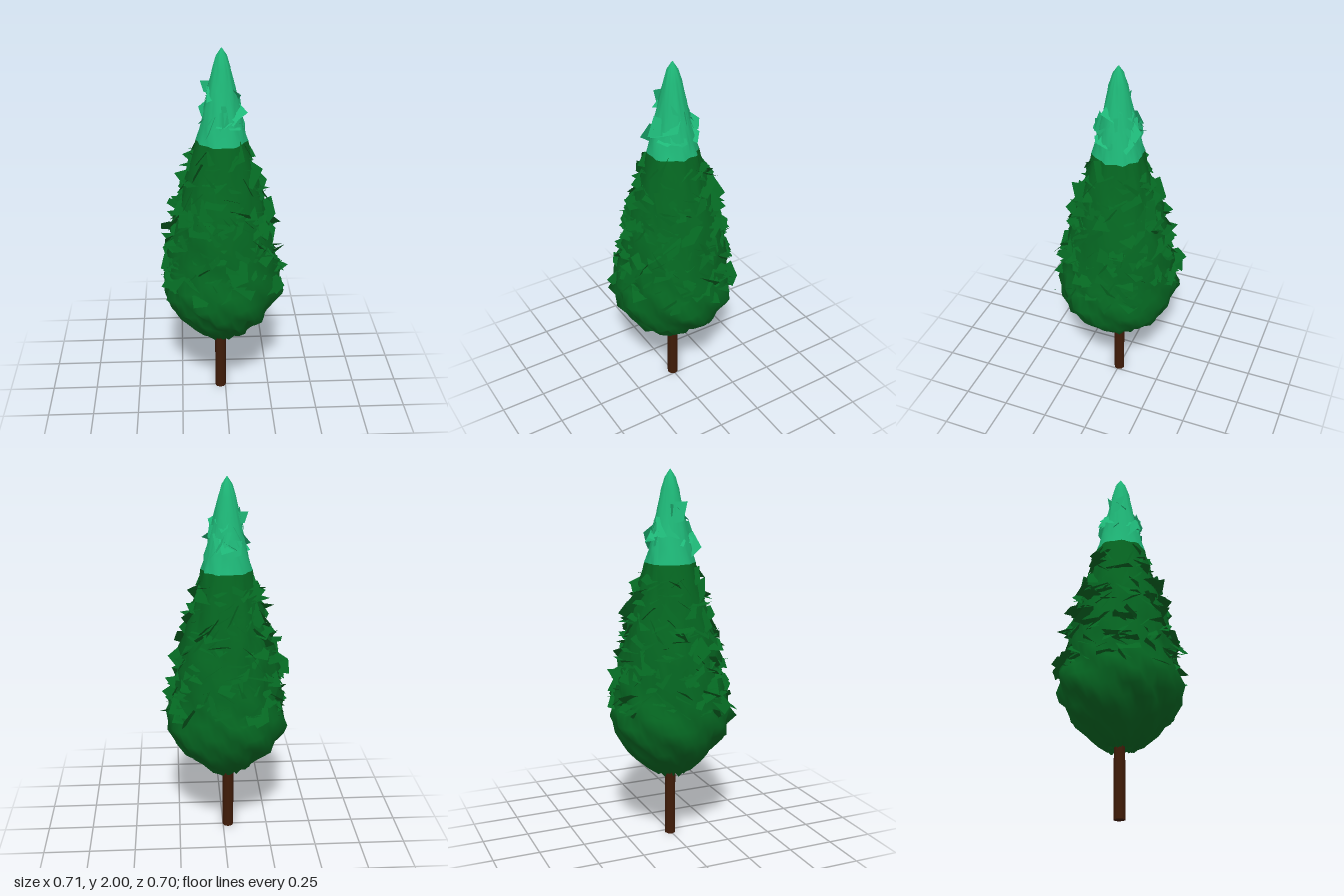
import * as THREE from 'three';

const CX = -0.02;         // tree axis
const TIP_Y = 1.52;       // where the fresh tip colour starts

// small seeded random source
function seeded(seed) {
  return () => {
    seed = (seed * 1664525 + 1013904223) % 4294967296;
    return seed / 4294967296;
  };
}

// crown profile as [height, radius]
const PROFILE = [
  [0.38, 0.012], [0.36, 0.075], [0.4, 0.125], [0.45, 0.185], [0.5, 0.235], [0.55, 0.275], [0.61, 0.308],
  [0.68, 0.33], [0.75, 0.318], [0.82, 0.3], [0.9, 0.286], [1.0, 0.268], [1.1, 0.247], [1.2, 0.22],
  [1.3, 0.19], [1.41, 0.16], [TIP_Y, 0.13], [1.6, 0.112], [1.7, 0.09], [1.8, 0.067], [1.9, 0.046],
  [1.96, 0.027], [2.0, 0.002],
];

function radiusAt(y) {
  for (let i = 1; i < PROFILE.length; i++) {
    const [y0, r0] = PROFILE[i - 1], [y1, r1] = PROFILE[i];
    if (y <= y1) return r0 + (r1 - r0) * (y - y0) / (y1 - y0);
  }
  return 0;
}

// sharp folds that wind around the crown
function fold(a, y) {
  const t = a + 4.5 * (y - 0.7) + 0.5;
  const ridge = Math.abs(Math.sin(4 * t + 0.5 * Math.sin(2 * t)));
  return 1.06 - 0.11 * ridge + 0.02 * Math.sin(3 * t + 1.3) + 0.02 * Math.sin(11 * t + 2);
}

// smooth crown made of stacked rings; group 0 is the body, group 1 the tip
function crownGeometry() {
  const rnd = seeded(7), sides = 48;
  const pos = [], index = [];
  let bodyCount = 0;
  PROFILE.forEach(([y, r], j) => {
    for (let i = 0; i < sides; i++) {
      const a = (i / sides) * Math.PI * 2;
      const rr = r * fold(a, y) * (0.98 + 0.04 * rnd());
      // ragged hem at the bottom, level cut at the tip line
      const dy = j > 0 && j < 6 ? (rnd() - 0.5) * 0.03 : 0;
      pos.push(CX + Math.sin(a) * rr, y + dy, Math.cos(a) * rr);
    }
    if (j === 0) return;
    for (let i = 0; i < sides; i++) {
      const k = (i + 1) % sides;
      const a = (j - 1) * sides + i, b = (j - 1) * sides + k;
      const c = j * sides + i, d = j * sides + k;
      index.push(a, b, c, b, d, c);
    }
    if (y === TIP_Y) bodyCount = index.length;
  });
  const g = new THREE.BufferGeometry();
  g.setAttribute('position', new THREE.Float32BufferAttribute(pos, 3));
  g.setIndex(index);
  g.computeVertexNormals();
  g.addGroup(0, bodyCount, 0);
  g.addGroup(bodyCount, index.length - bodyCount, 1);
  return g;
}

// flat four-cornered sprays poking out of the crown between two heights
function sprayGeometry(count, yMin, yMax, size, droop, seed) {
  const rnd = seeded(seed), pos = [];
  const span = (lo, hi) => lo + (hi - lo) * rnd();
  const m = new THREE.Matrix4(), e = new THREE.Euler();
  for (let n = 0; n < count; n++) {
    const y = span(yMin, yMax);
    const a = n * 2.39996 + span(-0.3, 0.3);
    const r = radiusAt(y) * fold(a, y);
    const s = size * span(0.7, 1.3);
    const reach = s * span(0.15, 0.55);
    // local frame: z points away from the axis, x runs around it
    e.set(droop + span(-0.7, 0.7), a + span(-0.7, 0.7), span(-0.9, 0.9), 'YXZ');
    m.makeRotationFromEuler(e);
    m.setPosition(CX + Math.sin(a) * r, y, Math.cos(a) * r);
    const corners = [
      [-s * 0.5, 0, reach - s], [s * 0.5, 0, reach - s],
      [s * span(0.2, 0.55), 0, reach * span(0, 0.9)], [-s * span(0, 0.5), 0, reach],
    ].map(c => new THREE.Vector3(...c).applyMatrix4(m));
    for (const i of [0, 2, 1, 0, 3, 2]) pos.push(...corners[i].toArray());
  }
  const g = new THREE.BufferGeometry();
  g.setAttribute('position', new THREE.Float32BufferAttribute(pos, 3));
  g.computeVertexNormals();
  return g;
}

export function createModel() {
  const material = (name, color, side = THREE.FrontSide) => {
    const m = new THREE.MeshStandardMaterial({ color, side });
    m.name = name;
    return m;
  };
  const bark = material('bark brown', 0x401c08);
  const green = material('deep green', 0x056521, THREE.DoubleSide);
  const mint = material('tip green', 0x1eb878, THREE.DoubleSide);

  const tree = new THREE.Group();
  tree.name = 'coniferTree';
  const add = (name, geometry, mat) => {
    const mesh = new THREE.Mesh(geometry, mat);
    mesh.name = name;
    tree.add(mesh);
    return mesh;
  };

  // trunk
  add('trunk', new THREE.CylinderGeometry(0.03, 0.031, 0.5, 8), bark).position.set(-0.028, 0.25, -0.002);

  // crown body and its pale tip
  add('crown', crownGeometry(), [green, mint]);

  // sprays: dense around the belly, fewer towards the top
  add('lowerSprays', sprayGeometry(125, 0.74, 0.98, 0.105, 0.25, 11), green);
  add('middleSprays', sprayGeometry(135, 0.98, 1.3, 0.11, 0.25, 23), green);
  add('upperSprays', sprayGeometry(45, 1.3, 1.46, 0.11, 0.4, 37), green);
  add('tipSprays', sprayGeometry(26, 1.59, 1.78, 0.09, 0.9, 41), mint);

  return tree;
}
